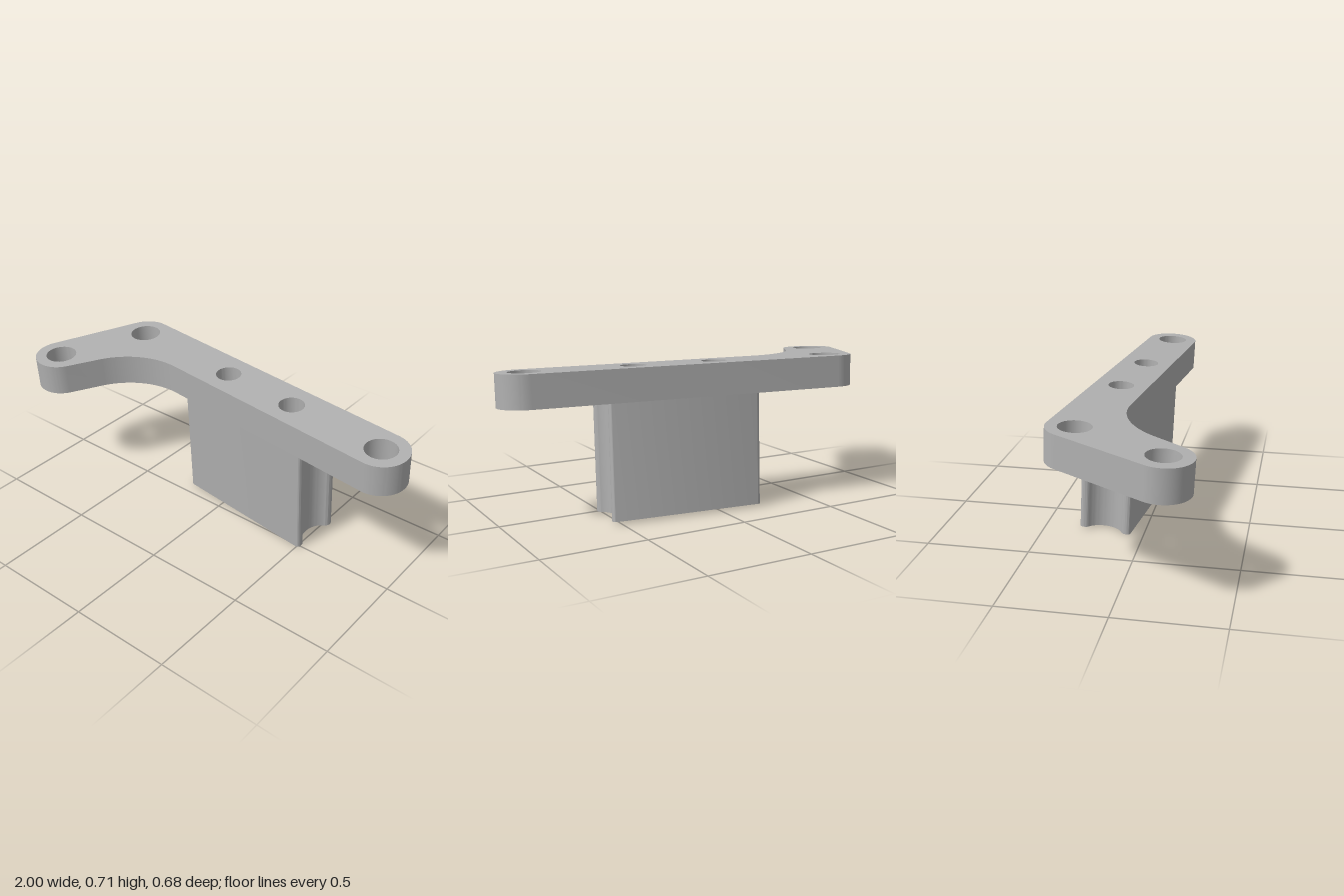
import * as THREE from 'three';
import { toCreasedNormals } from 'three/addons/utils/BufferGeometryUtils.js';

const rad = THREE.MathUtils.degToRad;
const AXIS = 0.134;   // centre line of the bar
const R = 0.13;       // rounded end radius
const PLATE = 0.155;  // plate thickness
const HEIGHT = 0.698; // total height along the tilted axis

function addHole(shape, x, y, r) {
  const hole = new THREE.Path();
  hole.absarc(x, y, r, 0, Math.PI * 2, true);
  shape.holes.push(hole);
}

// Extrudes a plan outline upward, starting at height y
function extrudeUp(shape, depth, y) {
  const geo = new THREE.ExtrudeGeometry(shape, { depth, bevelEnabled: false, curveSegments: 24 });
  geo.rotateX(-Math.PI / 2).translate(0, y, 0);
  return toCreasedNormals(geo, rad(32));
}

// Bent bar with a short leg and a concave inner corner
function plateShape() {
  const s = new THREE.Shape();
  s.absarc(0.8585, AXIS, R, rad(-90), rad(90), false);
  s.absarc(-0.684, AXIS, R, rad(90), rad(160), false);
  s.absarc(-0.842, -0.301, R, rad(160), rad(333), false);
  s.absarc(-0.32, -0.366, 0.37, rad(153), rad(90), true);
  s.closePath();
  for (const [x, y] of [[0.8585, AXIS], [-0.684, AXIS], [-0.842, -0.301]]) addHole(s, x, y, 0.076);
  return s;
}

// Block with rounded corners and a scooped groove in each end
function blockShape() {
  const x0 = -0.246, x1 = 0.51, y0 = AXIS - R, y1 = AXIS + R, f = 0.02;
  const s = new THREE.Shape();
  s.moveTo(x0 + f, y0);
  s.lineTo(x1 - f, y0);
  s.quadraticCurveTo(x1, y0, x1, y0 + f);
  s.quadraticCurveTo(x1, y0 + 0.038, x1 - 0.014, y0 + 0.046);
  s.bezierCurveTo(x1 - 0.068, y0 + 0.085, x1 - 0.068, y1 - 0.085, x1 - 0.014, y1 - 0.046);
  s.quadraticCurveTo(x1, y1 - 0.038, x1, y1 - f);
  s.quadraticCurveTo(x1, y1, x1 - f, y1);
  s.lineTo(x0 + f, y1);
  s.quadraticCurveTo(x0, y1, x0, y1 - f);
  s.quadraticCurveTo(x0, y1 - 0.038, x0 + 0.014, y1 - 0.046);
  s.bezierCurveTo(x0 + 0.068, y1 - 0.085, x0 + 0.068, y0 + 0.085, x0 + 0.014, y0 + 0.046);
  s.quadraticCurveTo(x0, y0 + 0.038, x0, y0 + f);
  s.quadraticCurveTo(x0, y0, x0 + f, y0);
  return s;
}

export function createModel() {
  const metal = new THREE.MeshStandardMaterial({ color: 0xb0b0b0 });
  metal.name = 'grey metal';

  const plate = plateShape();
  const block = blockShape();
  // Two bolt holes run through plate and block
  for (const shape of [plate, block]) {
    for (const x of [-0.066, 0.345]) addHole(shape, x, AXIS, 0.062);
  }

  const bracket = new THREE.Group();
  bracket.name = 'bracket';
  const parts = [
    ['mountingPlate', plate, PLATE, -PLATE],
    ['supportBlock', block, HEIGHT - PLATE, -HEIGHT],
  ];
  for (const [name, shape, depth, y] of parts) {
    const mesh = new THREE.Mesh(extrudeUp(shape, depth, y), metal);
    mesh.name = name;
    bracket.add(mesh);
  }

  // Whole bracket leans 3 degrees about the bar and is turned slightly
  bracket.rotation.set(rad(3), rad(-6.4), 0, 'YXZ');
  bracket.position.y = 0.697;

  const model = new THREE.Group();
  model.name = 'mountingBracket';
  model.add(bracket);
  return model;
}
